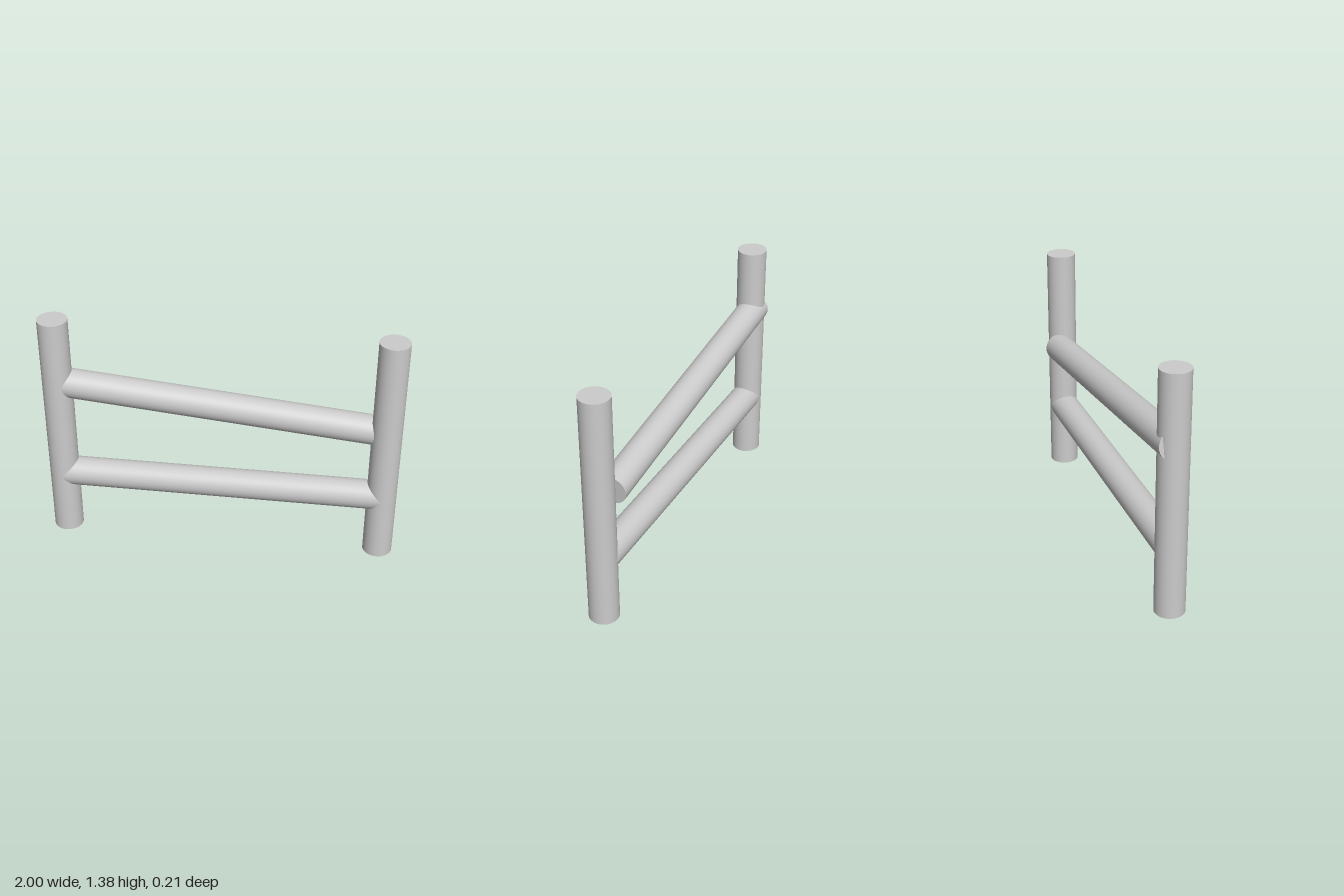
import * as THREE from 'three';

const RADIUS = 0.084;
const POST_X = 0.916;
const POST_Z = 0.017;
const POST_HEIGHT = 1.375;

const material = new THREE.MeshStandardMaterial({ color: 0xcccccc });

// Round pole running between two points
function pole(name, from, to) {
  const a = new THREE.Vector3(...from);
  const b = new THREE.Vector3(...to);
  const axis = b.clone().sub(a);
  const mesh = new THREE.Mesh(
    new THREE.CylinderGeometry(RADIUS, RADIUS, axis.length(), 40),
    material
  );
  mesh.name = name;
  mesh.position.copy(a).add(b).multiplyScalar(0.5);
  mesh.quaternion.setFromUnitVectors(new THREE.Vector3(0, 1, 0), axis.normalize());
  return mesh;
}

export function createModel() {
  const fence = new THREE.Group();
  fence.name = 'fence';

  // Upright posts
  for (const [name, x] of [['leftPost', POST_X], ['rightPost', -POST_X]]) {
    fence.add(pole(name, [x, 0, POST_Z], [x, POST_HEIGHT, POST_Z]));
  }

  // Level lower rail, ending inside the posts
  fence.add(pole('lowerRail', [-POST_X, 0.382, POST_Z], [POST_X, 0.382, POST_Z]));

  // Slipped upper rail, sloping down and drifting to the back
  fence.add(pole('upperRail', [-0.96, 0.983, 0.006], [0.856, 0.795, -0.021]));

  return fence;
}
